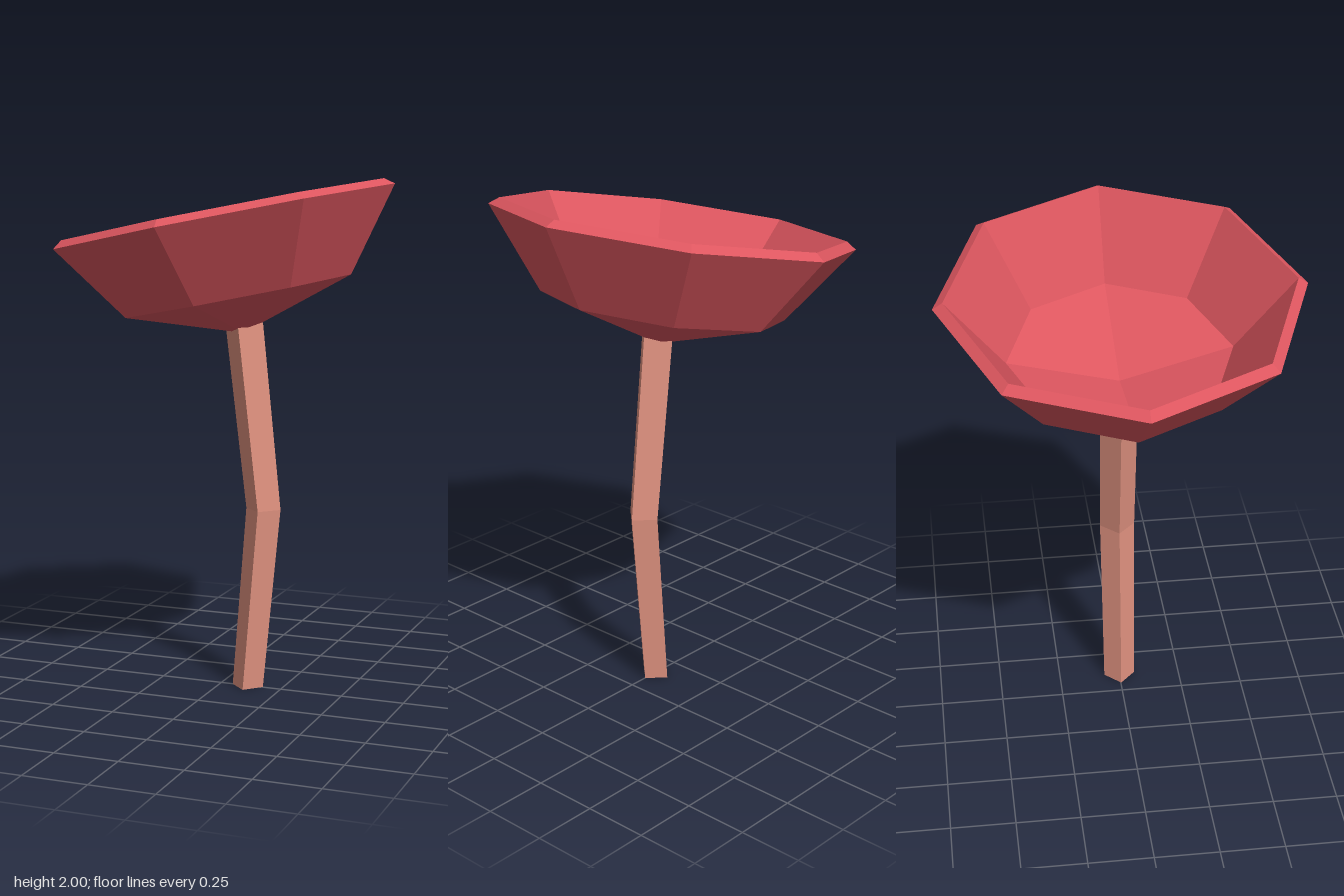
import * as THREE from 'three';

const capRed = new THREE.MeshStandardMaterial({ color: 0xdd565f });
capRed.name = 'capRed';
const stemPink = new THREE.MeshStandardMaterial({ color: 0xe09280 });
stemPink.name = 'stemPink';

// A ring of corner points, at height y, starting near +x and turning towards +z
function ring(sides, radius, y, x = 0, slope = 0) {
  return Array.from({ length: sides }, (_, k) => {
    const a = (k / sides) * Math.PI * 2 - 0.026;
    const dx = radius * Math.cos(a);
    return new THREE.Vector3(x + dx, y + slope * dx, radius * Math.sin(a));
  });
}

// Flat facets between two rings; a ring of radius 0 closes to a point.
// Facets in the same group share one normal, so they read as a single face.
function band(lower, upper, group = 1) {
  const n = lower.length;
  const pos = [], nor = [];
  for (let g = 0; g < n; g += group) {
    const tris = [];
    for (let k = g; k < g + group; k++) {
      const j = (k + 1) % n;
      const a = lower[k], b = upper[k], c = upper[j], d = lower[j];
      if (b.distanceTo(c) > 1e-6) tris.push([a, b, c]);
      if (a.distanceTo(d) > 1e-6) tris.push([a, c, d]);
    }
    const sum = new THREE.Vector3();
    for (const [a, b, c] of tris) {
      sum.add(b.clone().sub(a).cross(c.clone().sub(a)));
    }
    sum.normalize();
    for (const t of tris) {
      for (const p of t) {
        pos.push(p.x, p.y, p.z);
        nor.push(sum.x, sum.y, sum.z);
      }
    }
  }
  const geo = new THREE.BufferGeometry();
  geo.setAttribute('position', new THREE.Float32BufferAttribute(pos, 3));
  geo.setAttribute('normal', new THREE.Float32BufferAttribute(nor, 3));
  return geo;
}

function addPart(parent, name, geometry, material) {
  const mesh = new THREE.Mesh(geometry, material);
  mesh.name = name;
  parent.add(mesh);
}

export function createModel() {
  const model = new THREE.Group();
  model.name = 'mushroom';

  // Tilted eight-sided bowl cap, from its underside tip round to its inner floor
  const cap = new THREE.Group();
  cap.name = 'cap';
  cap.position.y = 1.84;
  cap.rotation.z = 0.204;
  const profile = [[0, -0.445], [0.466, -0.30], [0.695, 0], [0.657, 0.027], [0.432, -0.28], [0, -0.41]];
  const rings = profile.map(([r, y]) => ring(8, r, y));
  const names = ['capUnderside', 'capOuterWall', 'capRim', 'capInnerWall', 'capFloor'];
  names.forEach((name, i) => {
    const cone = i === 0 || i === 4;
    addPart(cap, name, band(rings[i], rings[i + 1], cone ? 2 : 1), capRed);
  });
  model.add(cap);

  // Bent four-sided stem
  const stem = new THREE.Group();
  stem.name = 'stem';
  const foot = ring(4, 0.063, 0, 0.112);
  const knee = ring(4, 0.07, 0.72, 0.175);
  const top = ring(4, 0.075, 1.432, 0.095, 0.2);
  addPart(stem, 'lowerStem', band(foot, knee), stemPink);
  addPart(stem, 'upperStem', band(knee, top), stemPink);
  addPart(stem, 'stemFoot', band(ring(4, 0, 0, 0.112), foot), stemPink);
  model.add(stem);

  return model;
}
